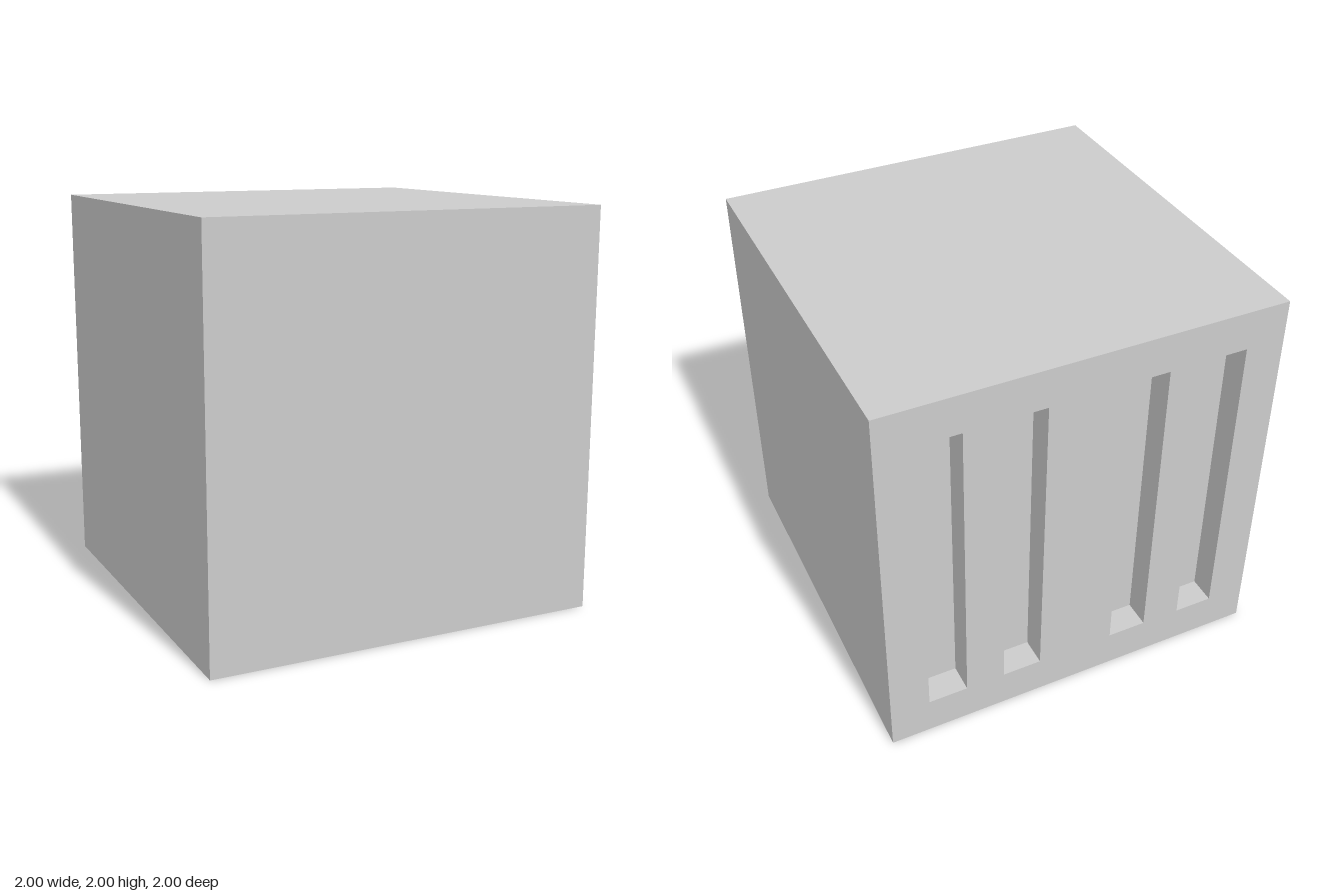
import * as THREE from 'three';

const SIZE = 2, DEPTH = 0.14;
const SLOT_W = 0.2, SLOT_H = 1.6;
const SLOT_X = [-0.7, -0.3, 0.3, 0.7];

// Box without its back (-z) face; inward = true turns the walls to face inside
function openBox(w, h, d, inward = false) {
  const geo = new THREE.BoxGeometry(w, h, d);
  const index = Array.from(geo.index.array).slice(0, 30);
  geo.setIndex(inward ? index.reverse() : index);
  geo.computeVertexNormals();
  return geo;
}

// Upright rectangle centred on (x, 0)
function rect(path, x, w, h) {
  path.moveTo(x - w / 2, -h / 2);
  path.lineTo(x + w / 2, -h / 2);
  path.lineTo(x + w / 2, h / 2);
  path.lineTo(x - w / 2, h / 2);
  path.closePath();
  return path;
}

export function createModel() {
  const group = new THREE.Group();
  const material = new THREE.MeshStandardMaterial({ color: 0xcccccc });
  const add = (name, geo, x, y, z) => {
    const mesh = new THREE.Mesh(geo, material);
    mesh.name = name;
    mesh.position.set(x, y, z);
    group.add(mesh);
  };

  // Cube body, open at the back
  add('body', openBox(SIZE, SIZE, SIZE), 0, SIZE / 2, 0);

  // Back panel pierced by four upright slots
  const panel = rect(new THREE.Shape(), 0, SIZE, SIZE);
  for (const x of SLOT_X) panel.holes.push(rect(new THREE.Path(), x, SLOT_W, SLOT_H));
  add('backPanel', new THREE.ShapeGeometry(panel).rotateY(Math.PI), 0, SIZE / 2, -SIZE / 2);

  // Recess walls and floor of each slot
  for (const x of SLOT_X) {
    add('slotRecess', openBox(SLOT_W, SLOT_H, DEPTH, true), x, SIZE / 2, -SIZE / 2 + DEPTH / 2);
  }
  return group;
}
